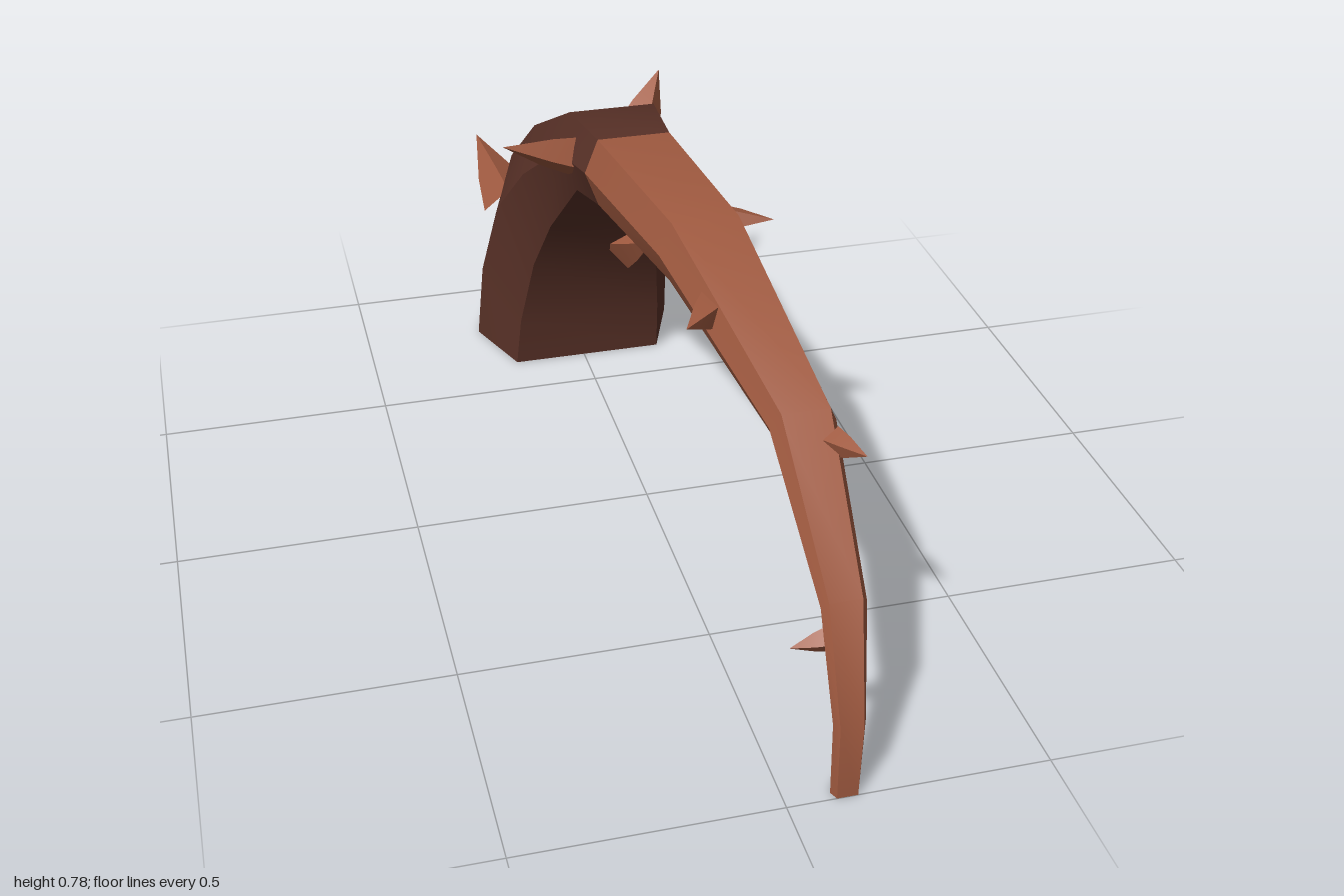
import * as THREE from 'three';
import { toCreasedNormals } from 'three/addons/utils/BufferGeometryUtils.js';

const darkBark = new THREE.MeshStandardMaterial({ color: 0x5a3228 });
const lightBark = new THREE.MeshStandardMaterial({ color: 0xa05a40 });
darkBark.name = 'dark bark';
lightBark.name = 'light bark';

// Arch stations: centre x, half width, outer z/y, middle z/y, inner z/y
const stations = [
  [0.008, 0.237, -0.955, 0, -0.79, 0, -0.62, 0],
  [0.012, 0.229, -0.905, 0.26, -0.76, 0.19, -0.605, 0.12],
  [0.014, 0.199, -0.785, 0.47, -0.67, 0.40, -0.545, 0.30],
  [0.014, 0.166, -0.61, 0.62, -0.53, 0.54, -0.455, 0.44],
  [0.014, 0.126, -0.36, 0.755, -0.33, 0.68, -0.30, 0.60],
  [0.01, 0.103, -0.15, 0.782, -0.15, 0.71, -0.15, 0.635],
  [0.05, 0.09, 0.25, 0.782, 0.25, 0.717, 0.24, 0.655],
  [0.112, 0.062, 0.69, 0.615, 0.675, 0.58, 0.66, 0.545],
  [0.117, 0.042, 0.925, 0.375, 0.915, 0.36, 0.90, 0.345],
  [0.114, 0.03, 1.0, 0.157, 0.983, 0.156, 0.967, 0.155],
  [0.113, 0.027, 1.0, 0, 0.983, 0, 0.967, 0],
];
const DARK_SPANS = 5;

// Six-sided ring: flat outer and inner faces, widest in the middle
function ring([cx, half, oz, oy, mz, my, iz, iy]) {
  const flat = half * 0.73;
  return [
    [cx - flat, oy, oz], [cx + flat, oy, oz], [cx + half, my, mz],
    [cx + flat, iy, iz], [cx - flat, iy, iz], [cx - half, my, mz],
  ];
}

function archGeometry() {
  const rings = stations.map(ring);
  const positions = [];
  const tri = (...corners) => corners.forEach((p) => positions.push(...p));
  const first = rings[0];
  const last = rings[rings.length - 1];
  let split = 0;
  for (let k = 1; k < 5; k++) tri(first[0], first[k], first[k + 1]);
  for (let i = 0; i < rings.length - 1; i++) {
    if (i === DARK_SPANS) split = positions.length / 3;
    for (let k = 0; k < 6; k++) {
      const n = (k + 1) % 6;
      const a = rings[i][k], b = rings[i][n], c = rings[i + 1][n], d = rings[i + 1][k];
      tri(a, d, c);
      tri(a, c, b);
    }
  }
  for (let k = 1; k < 5; k++) tri(last[0], last[k + 1], last[k]);
  const geometry = new THREE.BufferGeometry();
  geometry.setAttribute('position', new THREE.Float32BufferAttribute(positions, 3));
  geometry.addGroup(0, split, 0);
  geometry.addGroup(split, positions.length / 3 - split, 1);
  return toCreasedNormals(geometry, 0.55);
}

// Four-sided spike whose foot is sunk into the bark
function thorn(base, tip, radius) {
  const from = new THREE.Vector3(...base);
  const axis = new THREE.Vector3(...tip).sub(from);
  const length = axis.length();
  const profile = [[radius, 0], [radius * 0.68, length * 0.42], [0, length]]
    .map(([r, y]) => new THREE.Vector2(r, y));
  const geometry = toCreasedNormals(new THREE.LatheGeometry(profile, 4), 0.4);
  const mesh = new THREE.Mesh(geometry, lightBark);
  mesh.position.copy(from);
  mesh.quaternion.setFromUnitVectors(new THREE.Vector3(0, 1, 0), axis.normalize());
  mesh.name = 'thorn';
  return mesh;
}

export function createModel() {
  const model = new THREE.Group();
  model.name = 'thornyRootArch';

  const arch = new THREE.Mesh(archGeometry(), [darkBark, lightBark]);
  arch.name = 'rootArch';
  model.add(arch);

  // Thorns: foot, tip, radius
  const thorns = [
    [[-0.08, 0.69, -0.28], [-0.247, 0.75, -0.23], 0.05],
    [[0.12, 0.69, 0.07], [0.225, 0.702, 0.13], 0.034],
    [[0.14, 0.56, -0.64], [0.208, 0.683, -0.71], 0.055],
    [[-0.13, 0.32, -0.85], [-0.18, 0.437, -0.995], 0.065],
    [[0.09, 0.33, -0.54], [0.11, 0.395, -0.405], 0.058],
    [[0.155, 0.565, 0.72], [0.19, 0.575, 0.795], 0.028],
    [[0.02, 0.68, 0.41], [-0.055, 0.70, 0.505], 0.038],
    [[0.1, 0.295, 0.92], [0.025, 0.275, 0.905], 0.027],
  ];
  thorns.forEach((t) => model.add(thorn(...t)));
  return model;
}
